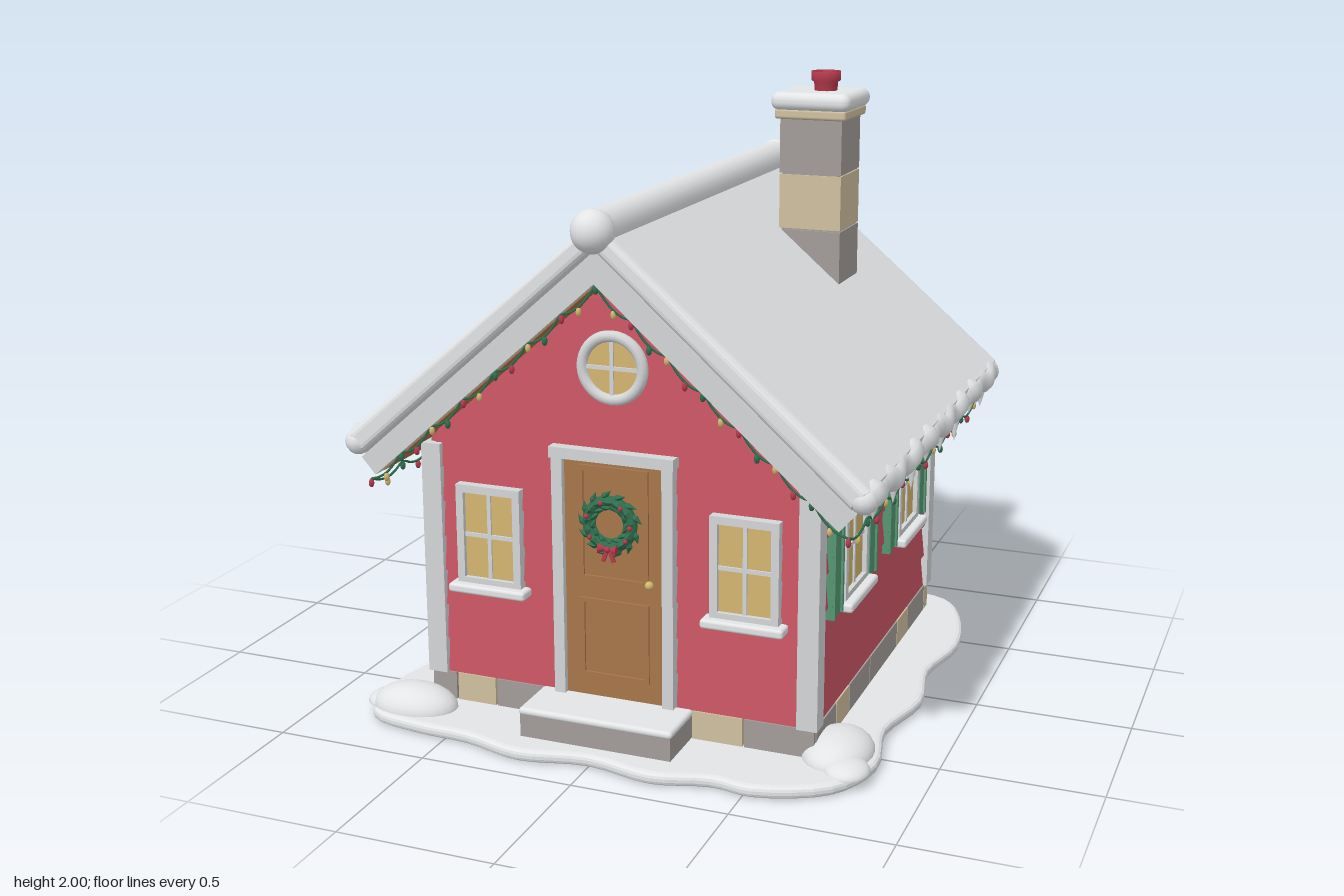
import * as THREE from 'three';
import { RoundedBoxGeometry } from 'three/addons/geometries/RoundedBoxGeometry.js';

const mat = (name, color) => {
  const m = new THREE.MeshStandardMaterial({ color });
  m.name = name;
  return m;
};
const M = {
  siding: mat('red siding', 0xc95563), snow: mat('snow', 0xe2e4e6), trim: mat('pale trim', 0xd4d5d7),
  wood: mat('brown wood', 0xa8764a), stone: mat('grey stone', 0xa39d9a), sand: mat('tan stone', 0xcfc0a0),
  green: mat('shutter green', 0x559673), leaf: mat('leaf green', 0x2f6e4e),
  glow: mat('window yellow', 0xd4b670), berry: mat('berry red', 0xb53a4c),
};

const SLOPE = 0.88, PEAK = 1.48;          // underside of the roof
const FRONT = 0.63, BACK = -0.70, HALF = 0.63, MIDZ = (FRONT + BACK) / 2;

const add = (parent, name, geo, m, x = 0, y = 0, z = 0) => {
  const mesh = new THREE.Mesh(geo, m);
  mesh.name = name;
  mesh.position.set(x, y, z);
  parent.add(mesh);
  return mesh;
};
const box = (parent, name, m, w, h, d, x, y, z) => add(parent, name, new THREE.BoxGeometry(w, h, d), m, x, y, z);
const group = (parent, name, x = 0, y = 0, z = 0, ry = 0) => {
  const g = new THREE.Group();
  g.name = name;
  g.position.set(x, y, z);
  g.rotation.y = ry;
  parent.add(g);
  return g;
};
const shapeOf = pts => new THREE.Shape(pts.map(p => new THREE.Vector2(...p)));
const prism = (pts, z0, z1) =>
  new THREE.ExtrudeGeometry(shapeOf(pts), { depth: z1 - z0, bevelEnabled: false }).translate(0, 0, z0);

// Lapped boards, thicker at the lower edge, on a wall facing +z
function siding(g, widthAt, top) {
  const step = 0.116;
  for (let y = 0.13; y < top - 0.01; y += step) {
    const y1 = Math.min(y + step, top), geo = new THREE.BoxGeometry(1, 1, 1), p = geo.attributes.position;
    for (let i = 0; i < p.count; i++) {
      const up = p.getY(i) > 0;
      p.setXYZ(i, p.getX(i) * widthAt(up ? y1 : y), up ? y1 : y, p.getZ(i) < 0 ? -0.005 : up ? 0.002 : 0.015);
    }
    geo.computeVertexNormals();
    add(g, 'sidingBoard', geo, M.siding);
  }
}

// Row of foundation stones along a wall facing +z
function stones(g, edges, colours, flip = 1) {
  for (let i = 0; i < edges.length - 1; i++) {
    const w = edges[i + 1] - edges[i] - 0.006;
    box(g, 'foundationStone', colours[i] === 't' ? M.sand : M.stone, w, 0.11, 0.04, flip * (edges[i] + edges[i + 1]) / 2, 0.077, 0);
  }
}

// Four-pane window with frame and sill
function windowUnit(parent, x, y, z, ry, w, h) {
  const g = group(parent, 'window', x, y, z, ry), t = 0.025;
  box(g, 'windowGlass', M.glow, w - t, h - t, 0.008, 0, 0, 0.012);
  for (const s of [-1, 1]) {
    box(g, 'frameSide', M.trim, t, h, 0.034, s * (w - t) / 2, 0, 0.014);
    box(g, 'frameRail', M.trim, w, t, 0.034, 0, s * (h - t) / 2, 0.014);
  }
  box(g, 'muntin', M.trim, 0.013, h - t, 0.012, 0, 0, 0.016);
  box(g, 'muntin', M.trim, w - t, 0.013, 0.012, 0, 0, 0.016);
  add(g, 'windowSill', new RoundedBoxGeometry(w + 0.045, 0.03, 0.065, 2, 0.01), M.snow, 0, -h / 2 - 0.008, 0.027);
  return g;
}

// Drooping wire with coloured bulbs between two points
function lightString(parent, a, b, swags, sag) {
  const g = group(parent, 'lightString'), pts = [], bulb = new THREE.SphereGeometry(0.009, 8, 6).scale(1, 1.6, 1);
  for (let i = 0; i <= swags * 4; i++) {
    const p = new THREE.Vector3().lerpVectors(a, b, i / (swags * 4));
    p.y -= sag * Math.sin((i % 4) / 4 * Math.PI);
    pts.push(p);
    if (i % 2 === 0) add(g, 'bulb', bulb, [M.berry, M.glow, M.leaf][(i / 2) % 3], p.x, p.y - 0.014, p.z);
  }
  add(g, 'wire', new THREE.TubeGeometry(new THREE.CatmullRomCurve3(pts), swags * 12, 0.004, 5), M.leaf);
}

function buildWalls(house) {
  const eave = PEAK - HALF * SLOPE;
  add(house, 'wallCore', prism([[-HALF, 0.1], [HALF, 0.1], [HALF, eave], [0, PEAK], [-HALF, eave]], BACK, FRONT), M.siding);
  const gable = y => Math.max(0.001, Math.min(2 * HALF, 2 * (PEAK - y) / SLOPE));
  const front = group(house, 'frontWall', 0, 0, FRONT), back = group(house, 'backWall', 0, 0, BACK, Math.PI);
  siding(front, gable, PEAK);
  siding(back, gable, PEAK);
  stones(group(house, 'frontFoundation', 0, 0, FRONT), [-0.65, -0.56, -0.42, -0.25, 0.25, 0.42, 0.65], 'gtggtg');
  stones(group(house, 'backFoundation', 0, 0, BACK, Math.PI), [-0.65, -0.5, -0.28, -0.1, 0.12, 0.33, 0.48, 0.65], 'tgtgtgt');
  for (const s of [-1, 1]) {
    const wall = group(house, 'sideWall', s * HALF, 0, MIDZ, s * Math.PI / 2);
    siding(wall, () => FRONT - BACK, eave);
    stones(group(house, 'sideFoundation', s * HALF, 0, 0, s * Math.PI / 2),
      [-0.64, -0.43, -0.285, -0.05, 0.29, 0.43, 0.66, 0.71], 'ggtggtgt'.slice(1), s);
    for (const z of [FRONT - 0.005, BACK + 0.005]) box(house, 'cornerBoard', M.trim, 0.066, 0.77, 0.066, s * 0.625, 0.515, z);
    // side windows with shutters
    for (const z of [0.285, -0.345]) {
      const w = windowUnit(house, s * (HALF + 0.006), 0.62, z, s * Math.PI / 2, 0.25, 0.33);
      for (const k of [-1, 1]) {
        box(w, 'shutter', M.green, 0.095, 0.35, 0.022, k * 0.19, -0.005, 0.012);
        for (const e of [-1, 1]) box(w, 'shutterStile', M.green, 0.014, 0.35, 0.008, k * 0.19 + e * 0.04, -0.005, 0.026);
      }
    }
    windowUnit(house, s * 0.425, 0.615, FRONT + 0.008, 0, 0.22, 0.33);
  }
  windowUnit(house, 0, 0.615, BACK - 0.008, Math.PI, 0.24, 0.33);

  // round gable window
  const r = group(house, 'roundWindow', 0, 1.2, FRONT + 0.015);
  add(r, 'roundGlass', new THREE.CylinderGeometry(0.09, 0.09, 0.008, 32).rotateX(Math.PI / 2), M.glow, 0, 0, 0.008);
  add(r, 'roundFrame', new THREE.TorusGeometry(0.098, 0.018, 10, 36), M.trim, 0, 0, 0.01);
  box(r, 'muntin', M.trim, 0.012, 0.18, 0.012, 0, 0, 0.012);
  box(r, 'muntin', M.trim, 0.18, 0.012, 0.012, 0, 0, 0.012);
}

function buildDoor(house) {
  const d = group(house, 'door', 0, 0, FRONT + 0.01);
  box(d, 'doorSlab', M.wood, 0.33, 0.78, 0.02, 0, 0.52, 0.006);
  for (const [y, h] of [[0.705, 0.37], [0.33, 0.26]]) {
    const hole = shapeOf([[-0.115, -h / 2], [0.115, -h / 2], [0.115, h / 2], [-0.115, h / 2]]);
    hole.holes.push(new THREE.Path([[-0.1, 0.015 - h / 2], [-0.1, h / 2 - 0.015], [0.1, h / 2 - 0.015], [0.1, 0.015 - h / 2]]
      .map(p => new THREE.Vector2(...p))));
    add(d, 'panelMoulding', new THREE.ExtrudeGeometry(hole, { depth: 0.008, bevelEnabled: false }), M.wood, 0, y, 0.015);
  }
  for (const s of [-1, 1]) box(d, 'doorPost', M.trim, 0.036, 0.8, 0.045, s * 0.182, 0.53, 0.013);
  box(d, 'doorLintel', M.trim, 0.41, 0.035, 0.055, 0, 0.925, 0.015);
  add(d, 'doorKnob', new THREE.SphereGeometry(0.014, 12, 8), M.glow, 0.12, 0.53, 0.028);

  // wreath of leaves with berries and a bow
  const w = group(d, 'wreath', 0, 0.72, 0.045);
  add(w, 'wreathRing', new THREE.TorusGeometry(0.073, 0.017, 8, 28), M.leaf);
  const leaf = new THREE.OctahedronGeometry(0.024).scale(0.5, 1.1, 0.5);
  for (let i = 0; i < 40; i++) {
    const a = i / 40 * Math.PI * 2, rad = 0.073 + 0.017 * ((i % 3) - 1);
    const l = add(w, 'wreathLeaf', leaf, M.leaf, rad * Math.cos(a), rad * Math.sin(a), i % 3 === 1 ? 0.014 : 0.004);
    l.rotation.z = a + 0.6 * ((i % 3) - 1);
    if (i % 6 === 0) add(w, 'wreathBerry', new THREE.SphereGeometry(0.008, 8, 6), M.berry, 0.073 * Math.cos(a), 0.073 * Math.sin(a), 0.022);
  }
  for (const s of [-1, 1]) {
    add(w, 'bowLoop', new THREE.ConeGeometry(0.016, 0.032, 8).rotateZ(s * Math.PI / 2), M.berry, s * 0.014, -0.075, 0.02);
    box(w, 'bowTail', M.berry, 0.012, 0.04, 0.008, s * 0.011, -0.098, 0.016).rotation.z = s * 0.35;
  }
  add(w, 'bowKnot', new THREE.SphereGeometry(0.01, 8, 6), M.berry, 0, -0.075, 0.024);

  box(house, 'doorStep', M.stone, 0.5, 0.09, 0.18, 0, 0.075, 0.735);
  add(house, 'stepSnow', new RoundedBoxGeometry(0.51, 0.025, 0.19, 3, 0.012), M.snow, 0, 0.123, 0.735);
}

function buildRoof(house) {
  const roof = group(house, 'roof');
  const z0 = -0.845, z1 = 0.785;
  for (const s of [-1, 1]) {
    const side = group(roof, 'roofSide');
    const flip = pts => s > 0 ? pts : pts.map(([x, y]) => [-x, y]).reverse();
    add(side, 'roofBoards', prism(flip([[0, 1.48], [0.75, 0.82], [0.797, 0.873], [0, 1.575]]), z0, z1), M.trim);
    add(side, 'soffit', prism(flip([[0, 1.475], [0.735, 0.828], [0.737, 0.834], [0, 1.482]]), z0 + 0.03, z1 - 0.03), M.wood);
    // snow blanket with a rounded border
    const blanket = new THREE.ExtrudeGeometry(shapeOf(flip([[0, 1.61], [0.79, 0.915], [0.815, 0.925], [0.815, 0.94], [0, 1.645]])),
      { depth: 1.6, bevelSize: 0.024, bevelThickness: 0.03, bevelSegments: 4 });
    add(side, 'roofSnow', blanket, M.snow, 0, 0, -0.83);
    // wavy eave drift with icicles
    const pts = [];
    for (let i = 0; i <= 32; i++) pts.push(new THREE.Vector3(
      s * (0.817 + 0.008 * Math.sin(i * 1.55)), 0.917 + 0.008 * Math.sin(i * 2.1), 0.765 - i * 0.05));
    add(side, 'eaveSnow', new THREE.TubeGeometry(new THREE.CatmullRomCurve3(pts), 96, 0.042, 10), M.snow);
    for (const p of [pts[0], pts[32]]) add(side, 'eaveSnowEnd', new THREE.SphereGeometry(0.042, 12, 8), M.snow, p.x, p.y, p.z);
    [0.7, 0.48, 0.27, 0.1, -0.09, -0.29, -0.5, -0.67].forEach((z, i) => {
      const h = 0.05 + 0.02 * (i % 3);
      add(side, 'icicle', new THREE.ConeGeometry(0.02, h, 8).rotateX(Math.PI), M.snow, s * 0.825, 0.89 - h / 2, z);
    });
    lightString(side, new THREE.Vector3(s * 0.775, 0.8, 0.77), new THREE.Vector3(s * 0.775, 0.8, -0.8), 8, 0.024);
    lightString(side, new THREE.Vector3(s * 0.775, 0.8, 0.77), new THREE.Vector3(0, 1.475, 0.77), 7, 0.022);
  }
  add(roof, 'ridgeSnow', new THREE.CylinderGeometry(0.06, 0.06, 1.64, 20).rotateX(Math.PI / 2), M.snow, 0, 1.635, -0.035);
  for (const z of [0.785, -0.855]) add(roof, 'ridgeSnowEnd', new THREE.SphereGeometry(0.066, 20, 14), M.snow, 0, 1.635, z);
}

function buildChimney(house) {
  const c = group(house, 'chimney', 0.315, 0, -0.375);
  [[1.25, 1.48, M.stone], [1.485, 1.665, M.sand], [1.67, 1.85, M.stone]].forEach(([a, b, m]) =>
    box(c, 'chimneyBlock', m, 0.212, b - a, 0.212, 0, (a + b) / 2, 0));
  box(c, 'chimneyCore', M.stone, 0.2, 0.5, 0.2, 0, 1.58, 0);
  add(c, 'chimneyBand', new RoundedBoxGeometry(0.245, 0.035, 0.245, 2, 0.01), M.sand, 0, 1.866, 0);
  add(c, 'chimneySnow', new RoundedBoxGeometry(0.272, 0.06, 0.272, 4, 0.028), M.snow, 0, 1.907, 0);
  const pot = [[0.036, 1.92], [0.04, 1.965], [0.049, 1.97], [0.049, 2], [0.035, 2], [0.035, 1.97]];
  add(c, 'chimneyPot', new THREE.LatheGeometry(pot.map(p => new THREE.Vector2(...p)), 16), M.berry, 0.02, 0, 0.01);
  add(c, 'potOpening', new THREE.CylinderGeometry(0.036, 0.036, 0.008, 16), M.wood, 0.02, 1.98, 0.01);
}

function buildGround(house) {
  // wavy snow patch
  const outline = [[-0.78, 0.81], [-0.6, 0.86], [-0.42, 0.87], [-0.22, 0.92], [0, 0.88], [0.22, 0.92], [0.4, 0.875], [0.53, 0.89],
    [0.75, 0.79], [0.83, 0.6], [0.79, 0.35], [0.84, 0.1], [0.8, -0.15], [0.84, -0.4], [0.79, -0.65], [0.7, -0.8], [0.48, -0.85],
    [0.25, -0.89], [0, -0.855], [-0.25, -0.89], [-0.48, -0.85], [-0.7, -0.8], [-0.8, -0.65], [-0.84, -0.4], [-0.79, -0.15],
    [-0.84, 0.1], [-0.79, 0.35], [-0.83, 0.6]];
  const curve = new THREE.CatmullRomCurve3(outline.map(([x, z]) => new THREE.Vector3(x, -z, 0)), true);
  const geo = new THREE.ExtrudeGeometry(new THREE.Shape(curve.getPoints(112).slice(0, -1).map(p => new THREE.Vector2(p.x, p.y))),
    { depth: 0.01, bevelSize: 0.02, bevelThickness: 0.015, bevelOffset: -0.02, bevelSegments: 3 });
  add(house, 'groundSnow', geo.rotateX(-Math.PI / 2), M.snow, 0, 0.015, 0);
  // drifts at the front corners
  const drift = new THREE.SphereGeometry(1, 24, 8, 0, Math.PI * 2, 0, Math.PI / 2);
  for (const [x, z, rx, h, rz] of [[-0.67, 0.73, 0.145, 0.075, 0.1], [-0.77, 0.72, 0.07, 0.035, 0.07],
    [0.7, 0.57, 0.11, 0.07, 0.15], [0.76, 0.68, 0.07, 0.035, 0.08]])
    add(house, 'snowDrift', drift, M.snow, x, 0.035, z).scale.set(rx, h, rz);
}

export function createModel() {
  const house = new THREE.Group();
  house.name = 'winterCottage';
  buildGround(house);
  buildWalls(house);
  buildDoor(house);
  buildRoof(house);
  buildChimney(house);
  return house;
}
